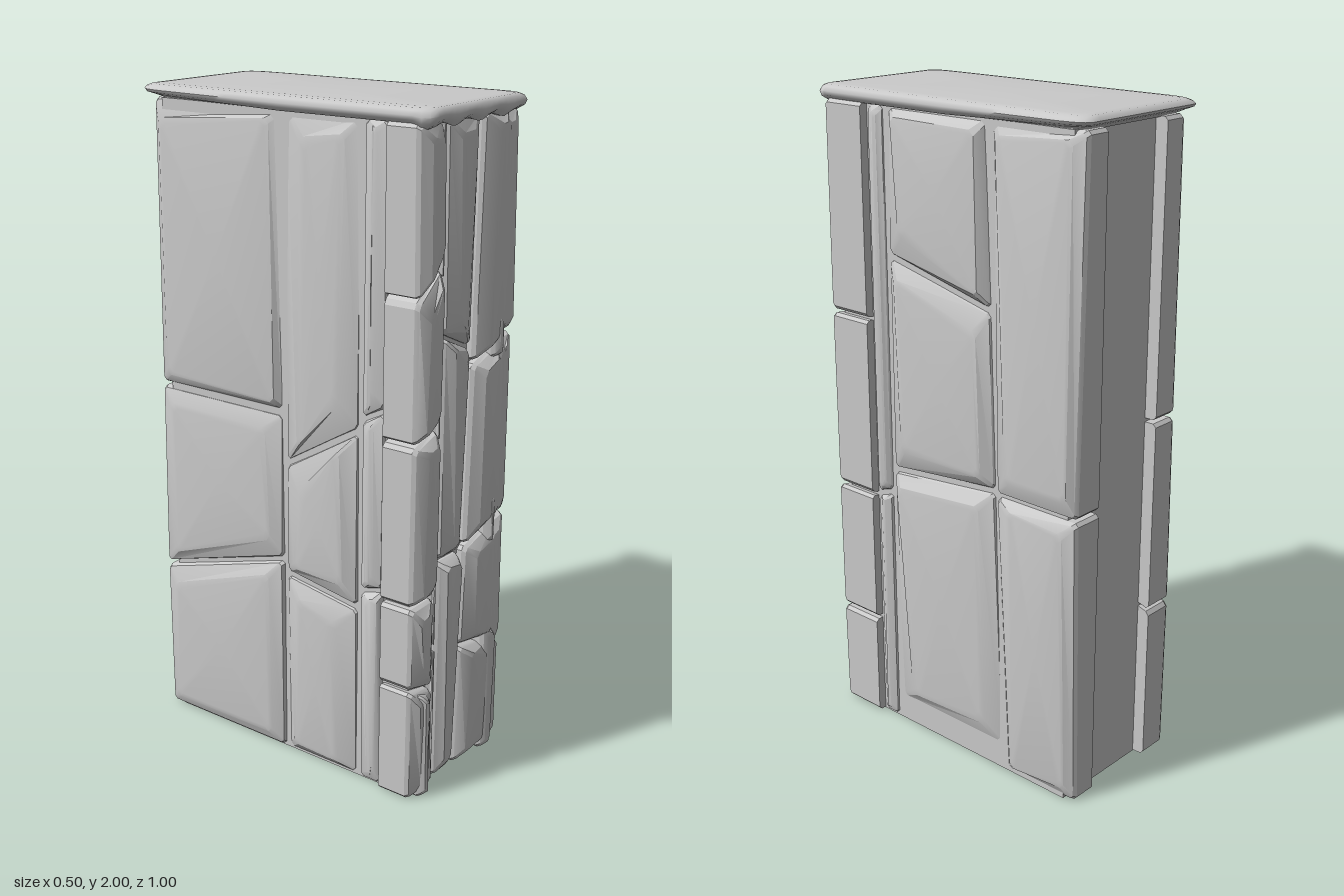
import * as THREE from 'three';
import { toCreasedNormals } from 'three/addons/utils/BufferGeometryUtils.js';

const stone = new THREE.MeshStandardMaterial({ color: 0xcacaca });
stone.name = 'grey stone';

let seed = 7;
const rand = () => {
  seed = (seed * 16807) % 2147483647;
  return seed / 2147483647 - 0.5;
};
const lerp = THREE.MathUtils.lerp;

// each wall works in (across, up, outward); these turn that into x, y, z
const facing = {
  front: (u, v, w) => [u, v, w],
  right: (u, v, w) => [w, v, -u],
  left: (u, v, w) => [-w, v, u],
  top: (u, v, w) => [u, w, -v],
};

// closed solid through counter-clockwise rings of [u, v, w], lowest ring first
function loft(name, rings, face, lift = 0, crease = 0.4) {
  const pos = [];
  const tri = (...pts) => pts.forEach((p) => pos.push(...facing[face](...p)));
  const mid = (ring) => [0, 1, 2].map((k) => ring.reduce((s, p) => s + p[k], 0) / ring.length);
  const n = rings[0].length;
  const last = rings[rings.length - 1];
  const low = mid(rings[0]);
  const high = mid(last);
  high[2] += lift;
  for (let i = 0; i < n; i++) {
    const j = (i + 1) % n;
    tri(low, rings[0][j], rings[0][i]);
    for (let r = 0; r + 1 < rings.length; r++) {
      const a = rings[r], b = rings[r + 1];
      tri(a[i], a[j], b[j]);
      tri(a[i], b[j], b[i]);
    }
    tri(high, last[i], last[j]);
  }
  const geo = new THREE.BufferGeometry();
  geo.setAttribute('position', new THREE.Float32BufferAttribute(pos, 3));
  const mesh = new THREE.Mesh(toCreasedNormals(geo, crease), stone);
  mesh.name = name;
  return mesh;
}

// one hewn block: a four-cornered outline with clipped corners and a sloping bevel;
// its face leans from depth outFoot at the bottom to outTop at the top
function block(name, face, quad, base, outTop, outFoot, bevel, drop) {
  const signs = [[1, 1], [-1, 1], [-1, -1], [1, -1]];
  const wide = Math.min(quad[1][0] - quad[0][0], quad[2][0] - quad[3][0]);
  const b = Math.min(bevel, wide * 0.3);
  const uneven = quad.map(() => [1 + rand() * 0.9, 1 + rand() * 0.9]);
  const foot = quad[0][1], height = quad[3][1] - foot;
  const out = (v) => lerp(outFoot, outTop, (v - foot) / height);
  const ring = (inset, depth, clip, vary) => quad.flatMap((p, i) => {
    const corner = quad.map((q, k) => [
      q[0] + signs[k][0] * inset * (vary ? uneven[k][0] : 1),
      q[1] + signs[k][1] * inset * (vary ? uneven[k][1] : 1),
    ]);
    const c = corner[i];
    return [corner[(i + 3) % 4], corner[(i + 1) % 4]].map((o) => {
      const t = clip / Math.hypot(o[0] - c[0], o[1] - c[1]);
      const v = lerp(c[1], o[1], t);
      return [lerp(c[0], o[0], t), v, depth === null ? base : out(v) - depth];
    });
  });
  const clip = Math.min(0.01, wide * 0.15);
  return loft(name, [
    ring(0, null, clip, false),
    ring(0, drop + 0.012, clip, false),
    ring(0.006, drop, clip, false),
    ring(b, 0.002, clip * 1.5, true),
    ring(b * 1.35, 0, clip * 1.5, true),
  ], face, 0.002);
}

// a stack of blocks; sides = [[left, right] at the top, [left, right] at the foot],
// joints = [left height, right height, face depth] of each joint, from the top down
function column(name, face, sides, joints, base, bevel, drop) {
  const group = new THREE.Group();
  group.name = name;
  const gap = 0.006;
  const [top, foot] = sides;
  const at = (k, v) => lerp(foot[k], top[k], v / 1.96) + (k ? -gap : gap);
  for (let i = 0; i + 1 < joints.length; i++) {
    const [tl, tr] = joints[i].map((v) => v - gap);
    const [bl, br] = joints[i + 1].map((v) => (v ? v + gap : 0.003));
    const quad = [[at(0, bl), bl], [at(1, br), br], [at(1, tr), tr], [at(0, tl), tl]];
    group.add(block(name + 'Block', face, quad, base, joints[i][2], joints[i + 1][2], bevel, drop));
  }
  return group;
}

// thin capstone with rounded corners, a dripping front lip and a thinner back edge
function capstone() {
  const outline = new THREE.Shape();
  const W = 0.25, D = 0.5, r = 0.035;
  outline.moveTo(-W + r, -D);
  outline.lineTo(W - r, -D).quadraticCurveTo(W, -D, W, -D + r * 2.2);
  outline.lineTo(W, D - r * 3).quadraticCurveTo(W, D, W - r, D);
  outline.lineTo(-W + r, D).quadraticCurveTo(-W, D, -W, D - r * 3);
  outline.lineTo(-W, -D + r * 2.2).quadraticCurveTo(-W, -D, -W + r, -D);
  const pts = outline.getSpacedPoints(120).slice(0, -1);
  const profile = [[0.05, 1.955], [0.02, 1.957], [0.004, 1.968], [0, 1.98], [0.006, 1.992], [0.018, 1.998], [0.04, 2]];
  const rings = profile.map(([inset, y], k) => pts.map((p) => {
    const rim = k > 0 && k < 4 ? 1 - k / 4 : 0;
    const sag = p.y < -0.46 ? 0.009 * (1 + Math.sin(p.x * 48 + 1)) * rim : 0;
    const back = Math.max(p.y, 0) * 0.035 * rim;
    return [p.x * (1 - inset / W), p.y * (1 - inset / D), y - sag + back];
  }));
  return loft('capstone', rings, 'top', 0, 0.9);
}

export function createModel() {
  const model = new THREE.Group();
  model.name = 'stonePillar';

  // plain core, seen in the joints and at the back
  const core = new THREE.Mesh(new THREE.BoxGeometry(0.43, 1.96, 0.88), stone);
  core.name = 'core';
  core.position.set(0, 0.98, 0);
  model.add(core);

  const add = (...args) => model.add(column(...args));
  const top = (w) => [1.965, 1.965, w];
  const foot = (w) => [0, 0, w];

  // front wall
  add('frontLeftCorner', 'front', [[0.125, 0.248], [0.125, 0.248]],
    [top(0.486), [1.32, 1.33, 0.49], [0.75, 0.77, 0.49], [0.34, 0.34, 0.49], foot(0.486)], 0.315, 0.03, 0.022);
  add('frontLeftStones', 'front', [[0.06, 0.2], [0, 0.2]],
    [top(0.49), [1.27, 1.31, 0.492], [0.72, 0.76, 0.493], [0.4, 0.36, 0.492], foot(0.488)], 0.4, 0.035, 0.024);
  add('frontMiddleStones', 'front', [[-0.105, 0.06], [-0.1, 0]],
    [top(0.478), [1.38, 1.32, 0.482], [0.715, 0.71, 0.482], foot(0.476)], 0.4, 0.035, 0.022);
  add('frontSeamStones', 'front', [[-0.133, -0.105], [-0.128, -0.1]],
    [top(0.46), [1.54, 1.54, 0.462], [1.08, 1.08, 0.462], [0.45, 0.45, 0.462], foot(0.46)], 0.4, 0.01, 0.01);
  add('frontRightCorner', 'front', [[-0.248, -0.125], [-0.248, -0.12]],
    [top(0.484), [1.5, 1.58, 0.49], [1.1, 1.13, 0.49], [0.62, 0.62, 0.488], [0.36, 0.33, 0.488], foot(0.486)], 0.36, 0.03, 0.022);

  // upright slivers on the front: foot, head, left, right
  for (const [lo, hi, x0, x1] of [[0, 0.42, 0.125, 0.19], [0.7, 0.86, 0.12, 0.16], [1.27, 1.4, 0.125, 0.17], [0, 0.34, -0.21, -0.16]]) {
    const quad = [[x0, lo], [x1, lo], [x1, hi - 0.02], [x0, hi]];
    model.add(block('sliver', 'front', quad, 0.43, 0.496, 0.496, 0.015, 0.012));
  }

  // side wall on the model's left
  add('leftNarrowStones', 'right', [[-0.315, -0.24], [-0.315, -0.24]],
    [top(0.23), [0.77, 0.79, 0.234], foot(0.232)], 0.15, 0.03, 0.012);
  add('leftMiddleStones', 'right', [[-0.24, 0.15], [-0.24, 0.21]],
    [top(0.238), [1.53, 1.44, 0.246], [0.87, 0.91, 0.248], [0.07, 0.07, 0.238]], 0.15, 0.05, 0.026);
  add('leftBackStones', 'right', [[0.15, 0.485], [0.21, 0.485]],
    [top(0.228), [0.905, 0.905, 0.249], foot(0.23)], 0.128, 0.035, 0.02);

  // side wall on the model's right
  add('rightBackStones', 'left', [[-0.485, 0], [-0.485, 0]],
    [top(0.225), [1.1, 1.1, 0.236], [0.5, 0.64, 0.246], foot(0.244)], 0.125, 0.04, 0.02);
  add('rightMiddleStones', 'left', [[0, 0.27], [0, 0.27]],
    [top(0.234), [0.95, 1.1, 0.244], [0.6, 0.56, 0.246], foot(0.24)], 0.15, 0.045, 0.024);
  add('rightNarrowStones', 'left', [[0.27, 0.36], [0.27, 0.36]],
    [top(0.232), [1.14, 1.18, 0.236], [0.62, 0.64, 0.238], foot(0.234)], 0.15, 0.025, 0.012);

  model.add(capstone());
  return model;
}
